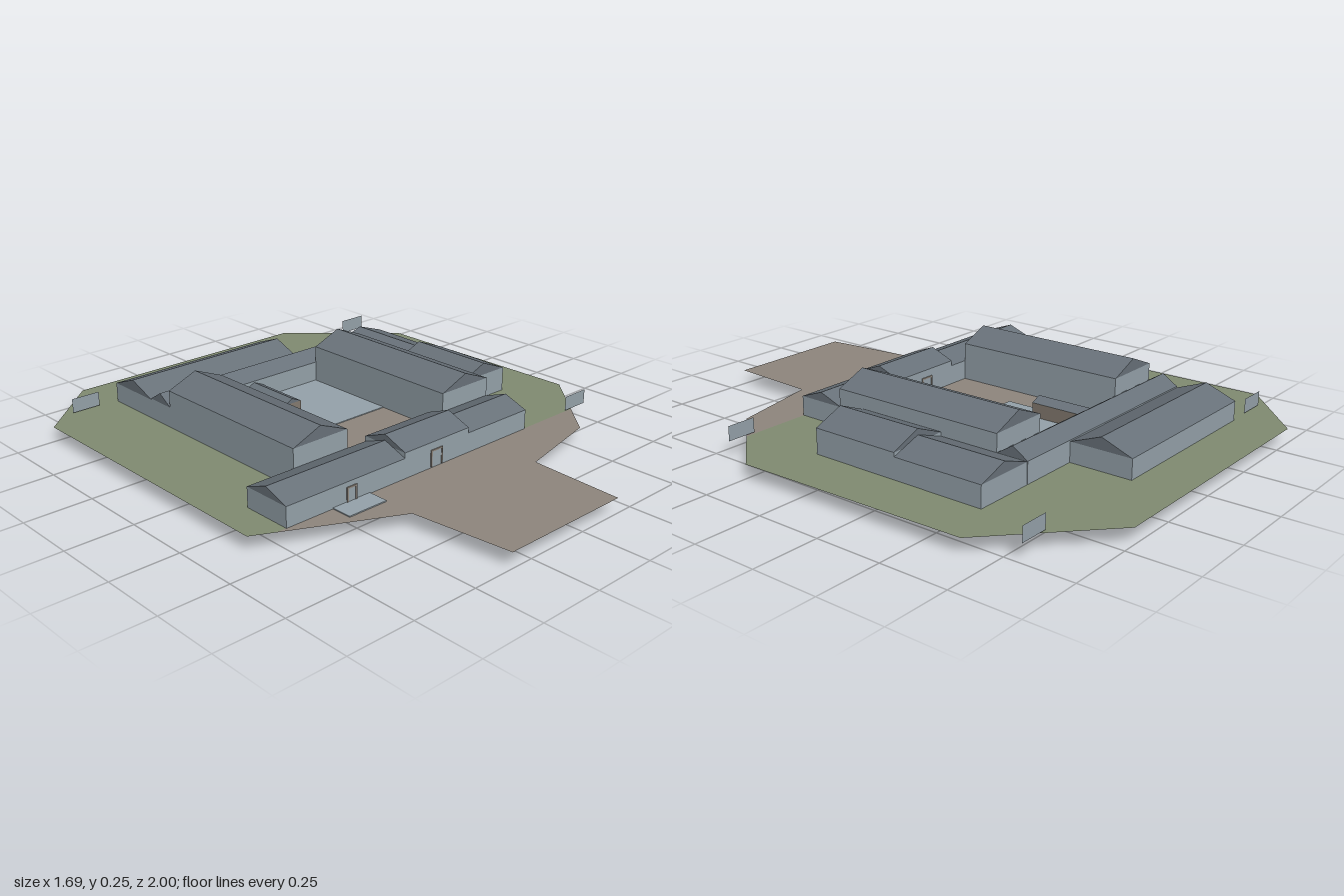
import * as THREE from 'three';

const mat = (name, color, side = THREE.FrontSide) => {
  const m = new THREE.MeshStandardMaterial({ color, side });
  m.name = name;
  return m;
};

export function createModel() {
  const root = new THREE.Group();
  root.name = 'courtyardCompound';

  const wall = mat('blue grey wall', 0x96a3ab);
  const plate = mat('marker plate', 0x96a3ab, THREE.DoubleSide);
  const roof = mat('slate roof', 0x69727a);
  const grass = mat('grass', 0x818c72, THREE.DoubleSide);
  const paving = mat('paving', 0x8f877e, THREE.DoubleSide);
  const timber = mat('brown annex wall', 0x857b70);

  const BASE = 0.047, GROUND = 0.056;

  const add = (name, geometry, material, parent = root) => {
    const mesh = new THREE.Mesh(geometry, material);
    mesh.name = name;
    parent.add(mesh);
    return mesh;
  };

  // Box given by its limits
  const block = (name, x0, x1, y0, y1, z0, z1, material, parent) => {
    const mesh = add(name, new THREE.BoxGeometry(x1 - x0, y1 - y0, z1 - z0), material, parent);
    mesh.position.set((x0 + x1) / 2, (y0 + y1) / 2, (z0 + z1) / 2);
    return mesh;
  };

  // Flat ground polygon from [x, z] corners
  const ground = (name, points, y, material) => {
    const shape = new THREE.Shape(points.map(([x, z]) => new THREE.Vector2(x, -z)));
    const geometry = new THREE.ShapeGeometry(shape).rotateX(-Math.PI / 2);
    add(name, geometry, material).position.y = y;
  };

  // Walls with a closed gabled roof; the ridge runs along the given axis
  const house = (name, x0, x1, z0, z1, eave, ridge, axis, wallMat = wall, base = BASE) => {
    const group = new THREE.Group();
    group.name = name;
    root.add(group);
    block(name + 'Walls', x0, x1, base, eave, z0, z1, wallMat, group);
    const alongX = axis === 'x';
    const half = (alongX ? z1 - z0 : x1 - x0) / 2;
    const length = alongX ? x1 - x0 : z1 - z0;
    const gable = new THREE.Shape([
      new THREE.Vector2(-half, 0),
      new THREE.Vector2(half, 0),
      new THREE.Vector2(0, ridge - eave),
    ]);
    const geometry = new THREE.ExtrudeGeometry(gable, { depth: length, bevelEnabled: false });
    geometry.translate(0, 0, -length / 2);
    if (alongX) geometry.rotateY(Math.PI / 2);
    add(name + 'Roof', geometry, roof, group).position.set((x0 + x1) / 2, eave, (z0 + z1) / 2);
  };

  // Site
  ground('lawn', [
    [-0.58, -1], [0.45, -1], [0.82, -0.65], [0.84, 0.24], [0.67, 0.43], [0.39, 0.43], [0.28, 0.34],
    [0.28, -0.515], [-0.42, -0.515], [-0.42, 0.34], [-0.6, 0.34], [-0.6, 0.43], [-0.77, 0.43],
    [-0.85, 0.39], [-0.85, -0.75],
  ], GROUND, grass);
  ground('forecourt', [
    [-0.77, 0.43], [0.67, 0.43], [0.55, 0.565], [0.2, 0.645], [0.18, 1], [-0.34, 1], [-0.38, 0.625],
  ], GROUND, paving);
  ground('courtyardPaving', [
    [-0.42, -0.515], [0.28, -0.515], [0.28, 0.34], [-0.42, 0.34],
  ], GROUND, paving);

  // Courtyard platform and entrance pad
  block('courtyardPlatform', -0.19, 0.16, 0.002, 0.059, -0.46, -0.065, wall);
  block('entrancePad', -0.54, -0.38, 0.043, 0.06, 0.43, 0.51, wall);

  // Front range in three sections
  house('frontRangeRight', -0.73, -0.22, 0.24, 0.432, 0.13, 0.165, 'x');
  house('gatehouse', -0.22, 0.09, 0.24, 0.432, 0.15, 0.187, 'x');
  house('frontRangeLeft', 0.09, 0.395, 0.24, 0.432, 0.13, 0.165, 'x');

  // Tall wings on both sides of the courtyard
  for (const [name, x] of [['rightWing', -0.42], ['leftWing', 0.28]]) {
    house(name, x - 0.118, x + 0.118, -0.455, 0.24, 0.2, 0.248, 'z');
  }

  // Back ranges, outer wing and courtyard annex
  house('rearCorridor', -0.538, 0.395, -0.575, -0.455, 0.135, 0.173, 'x');
  house('rearHall', -0.538, 0.16, -0.812, -0.575, 0.13, 0.175, 'x');
  house('outerWingFront', 0.398, 0.63, -0.225, 0.122, 0.15, 0.197, 'z');
  house('outerWingBack', 0.398, 0.63, -0.575, -0.225, 0.135, 0.175, 'z');
  house('annex', -0.19, -0.11, -0.455, -0.228, 0.112, 0.13, 'z', timber, 0);

  // Doors: a frame of jambs and lintel around a thin panel
  const door = (name, x, width, y0, y1, z) => {
    const group = new THREE.Group();
    group.name = name;
    root.add(group);
    const t = 0.006, h = width / 2;
    block(name + 'Panel', x - h + t, x + h - t, y0, y1 - t, z - 0.002, z + 0.002, wall, group);
    for (const s of [-1, 1]) {
      const c = x + s * (h - t / 2);
      block(name + 'Jamb', c - t / 2, c + t / 2, y0, y1, z - 0.004, z + 0.004, paving, group);
    }
    block(name + 'Lintel', x - h, x + h, y1 - t, y1, z - 0.004, z + 0.004, paving, group);
  };
  door('sideDoor', -0.46, 0.042, 0.06, 0.112, 0.432);
  door('gate', -0.07, 0.056, 0.06, 0.122, 0.432);
  door('courtyardGate', -0.07, 0.056, 0.06, 0.122, 0.24);

  // Free-standing marker plates at the plot corners
  for (const [x, z] of [[-0.675, -0.812], [0.688, -0.812], [0.688, 0.432]]) {
    add('markerPlate', new THREE.PlaneGeometry(0.114, 0.055), plate).position.set(x, 0.088, z);
  }

  return root;
}
